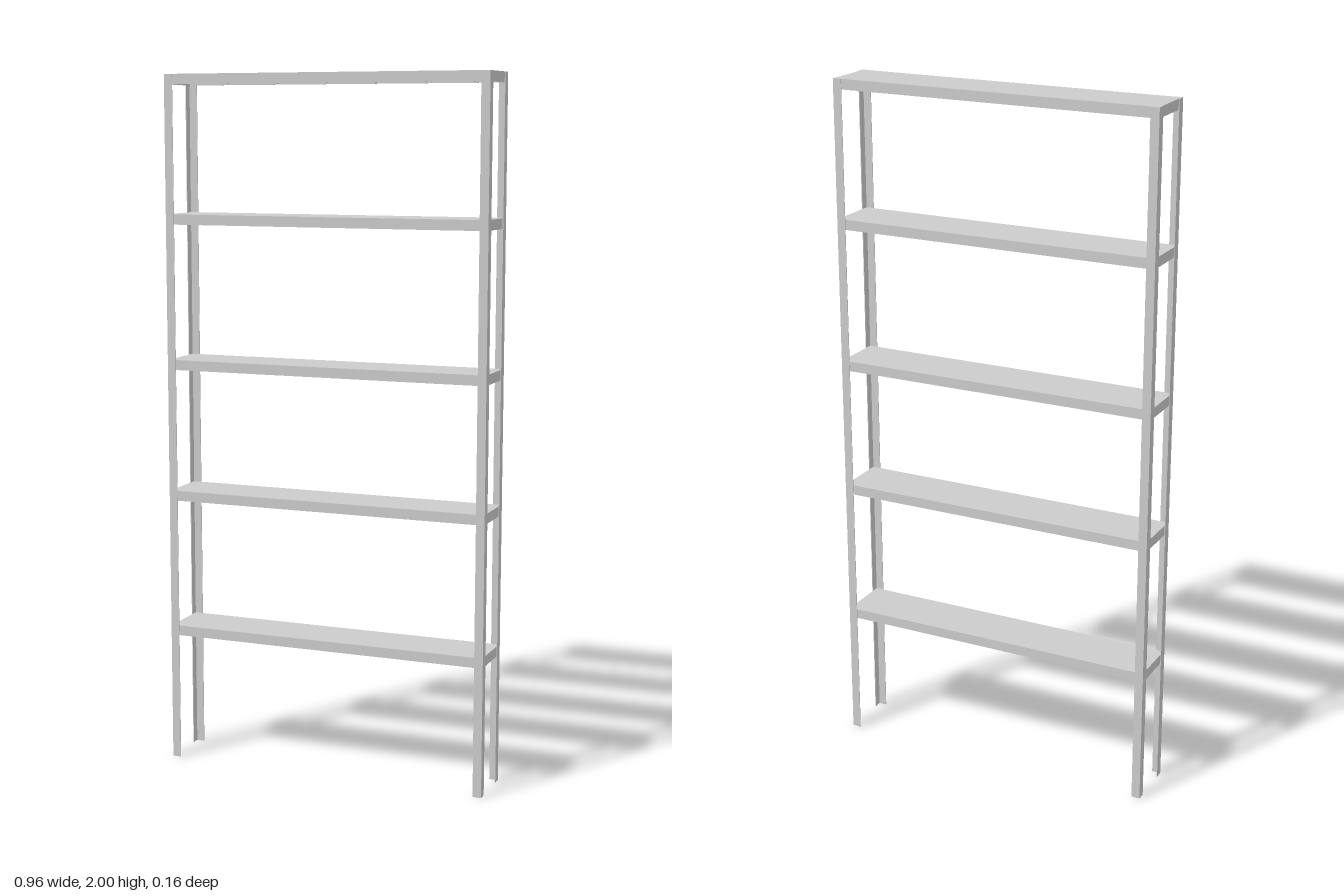
import * as THREE from 'three';

const W = 0.48, D = 0.08;      // half width and half depth over the posts
const T = 0.002;               // sheet thickness
const FLANGE = 0.025;          // width of each post flange
const RIM = 0.029;             // height of a shelf's folded edge
const SHELF_TOPS = [0.402, 0.806, 1.19, 1.607, 2];

const material = new THREE.MeshStandardMaterial({ color: 0xcccccc, flatShading: true });

function box(name, w, h, d, x, y, z) {
  const mesh = new THREE.Mesh(new THREE.BoxGeometry(w, h, d), material);
  mesh.name = name;
  mesh.position.set(x, y, z);
  return mesh;
}

// L-section upright with its outer corner at the origin, opening toward +x and +z
function post(name) {
  const s = new THREE.Shape([
    [0, 0], [FLANGE, 0], [FLANGE, T], [T, T], [T, FLANGE], [0, FLANGE],
  ].map(([x, y]) => new THREE.Vector2(x, y)));
  const geometry = new THREE.ExtrudeGeometry(s, { depth: 2, bevelEnabled: false });
  geometry.rotateX(Math.PI / 2).translate(0, 2, 0);
  const mesh = new THREE.Mesh(geometry, material);
  mesh.name = name;
  return mesh;
}

// Shallow tray, open underneath, with a folded rim on all four sides
function shelf(name, top) {
  const g = new THREE.Group();
  g.name = name;
  const w = W - T, d = D - T;
  g.add(box('shelfPanel', 2 * w, T, 2 * d, 0, top - T / 2, 0));
  const h = RIM - T, y = top - T - h / 2;
  for (const s of [1, -1]) {
    g.add(box(s > 0 ? 'frontRim' : 'backRim', 2 * w, h, T, 0, y, s * (d - T / 2)));
    g.add(box(s > 0 ? 'leftRim' : 'rightRim', T, h, 2 * (d - T), s * (w - T / 2), y, 0));
  }
  return g;
}

export function createModel() {
  const model = new THREE.Group();
  model.name = 'shelvingUnit';

  // Four corner posts, each a quarter turn or mirror of the same L-section
  const corners = [
    ['backRightPost', -W, -D, 0],
    ['frontRightPost', -W, D, Math.PI / 2],
    ['frontLeftPost', W, D, Math.PI],
    ['backLeftPost', W, -D, -Math.PI / 2],
  ];
  for (const [name, x, z, turn] of corners) {
    const p = post(name);
    p.position.set(x, 0, z);
    p.rotation.y = turn;
    model.add(p);
  }

  // Five tray shelves
  SHELF_TOPS.forEach((top, i) => model.add(shelf(`shelf${i + 1}`, top)));
  return model;
}
